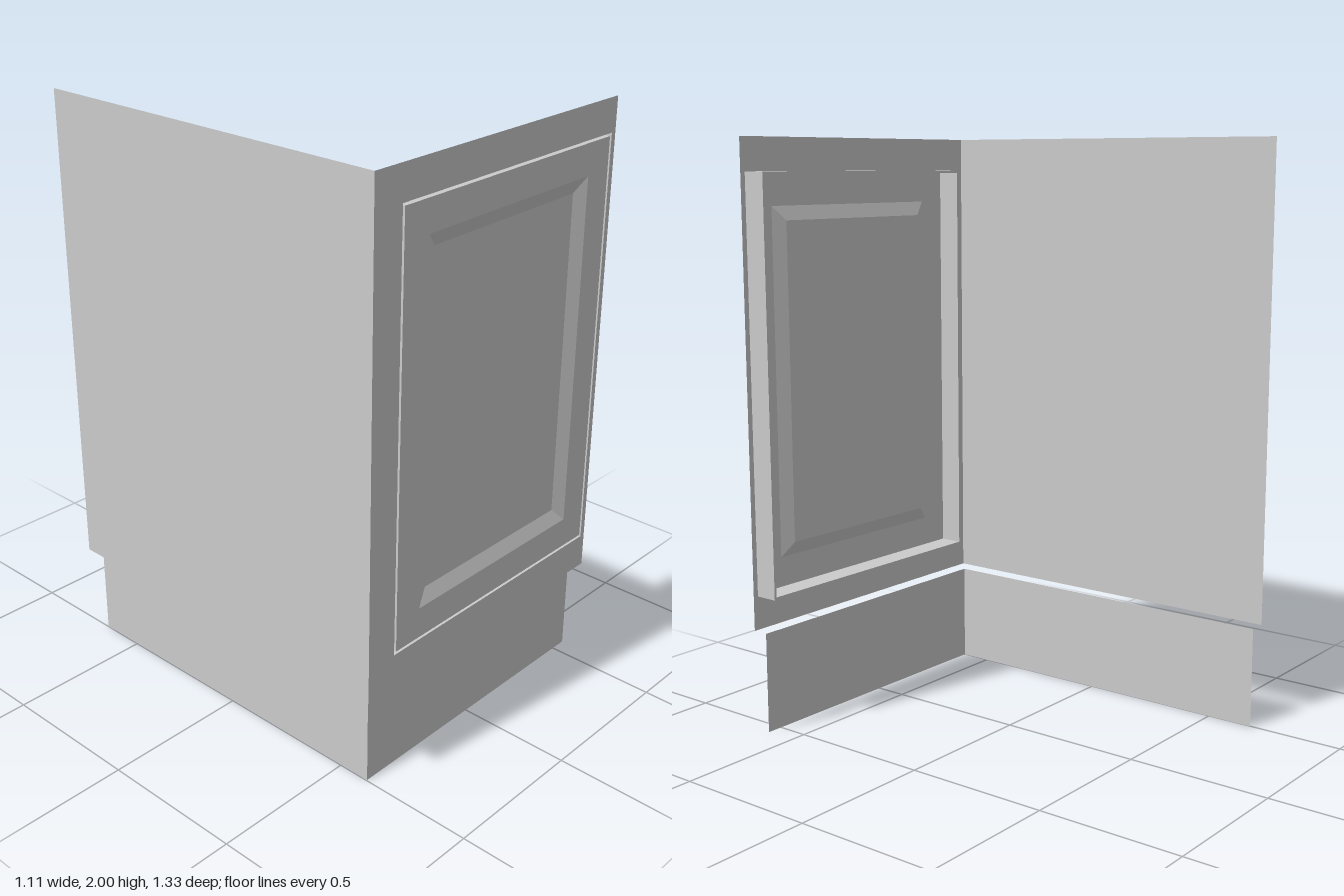
import * as THREE from 'three';

const material = new THREE.MeshStandardMaterial({ color: 0xcccccc, side: THREE.DoubleSide });

// Closed rectangular loop, counter-clockwise seen from the front
const rect = (x0, x1, y0, y1, z) => [[x0, y0, z], [x1, y0, z], [x1, y1, z], [x0, y1, z]];

// Skin of flat quads between successive loops, with an optional cap on the last
function skin(name, loops, cap = false) {
  const pos = [];
  const quad = (a, b, c, d) => pos.push(...a, ...b, ...c, ...a, ...c, ...d);
  for (let i = 0; i < loops.length - 1; i++) {
    const [a, b] = [loops[i], loops[i + 1]];
    for (let j = 0; j < 4; j++) {
      const k = (j + 1) % 4;
      quad(a[j], a[k], b[k], b[j]);
    }
  }
  if (cap) quad(...loops[loops.length - 1]);
  const geo = new THREE.BufferGeometry();
  geo.setAttribute('position', new THREE.Float32BufferAttribute(pos, 3));
  geo.computeVertexNormals();
  const mesh = new THREE.Mesh(geo, material);
  mesh.name = name;
  return mesh;
}

export function createModel() {
  const group = new THREE.Group();
  group.name = 'baseCabinet';

  const W = 0.557, D = 0.665, H = 2, kick = 0.35, back = 0.583;
  const kickX = -0.497, kickZ = 0.61;

  const panel = (name, w, h, x, y, z, turn) => {
    const mesh = new THREE.Mesh(new THREE.PlaneGeometry(w, h), material);
    mesh.name = name;
    mesh.position.set(x, y, z);
    mesh.rotation.y = turn;
    group.add(mesh);
  };

  // Carcass side and the set-back plinth
  panel('sidePanel', 2 * D, H - kick, -W, (H + kick) / 2, 0, -Math.PI / 2);
  panel('plinthSide', D + kickZ, kick, kickX, kick / 2, (kickZ - D) / 2, -Math.PI / 2);
  panel('plinthFront', W - kickX, kick, (W + kickX) / 2, kick / 2, kickZ, 0);

  // Door outline, shrunk by an inset at a given depth
  const door = (inset, z) => rect(-0.443 + inset, 0.538 - inset, 0.467 + inset, 1.888 - inset, z);
  const gap = 0.009;

  // Face frame around the door opening
  group.add(skin('faceFrame', [rect(-W, W, kick, H, D), door(0, D)]));

  // Narrow groove between frame and door
  group.add(skin('doorGroove', [door(0, D), door(0, back), door(gap, back), door(gap, D)]));

  // Door face with a bevelled recessed panel
  group.add(skin('doorFace', [door(gap, D), door(0.113, D), door(0.161, D - 0.019)], true));

  return group;
}
